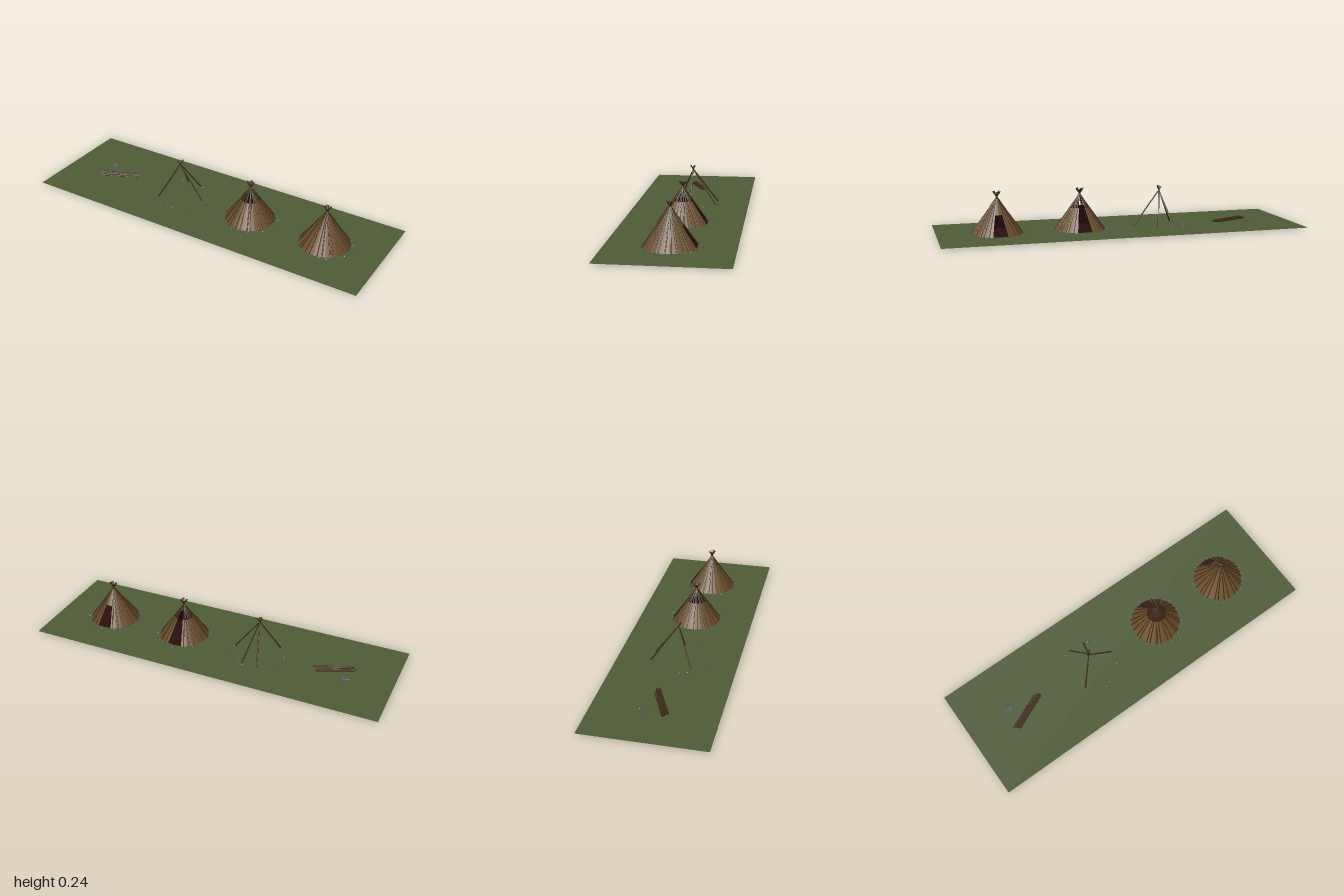
import * as THREE from 'three';

const mat = (name, color, side = THREE.FrontSide, flatShading = true) => {
  const m = new THREE.MeshStandardMaterial({ color, side, flatShading });
  m.name = name;
  return m;
};

export function createModel() {
  const grass = mat('grass', 0x4d5a36, THREE.DoubleSide);
  const wood = mat('wood', 0x3d2a17);
  const hide = mat('hide', 0x6b4c28, THREE.DoubleSide);
  const interior = mat('interior', 0x2a0f0e, THREE.DoubleSide);
  const stone = mat('stone', 0x54565a);

  const GROUND = 0.008, RADIUS = 0.14, APEX = 0.2, DOOR = 0.3;
  const model = new THREE.Group();
  let seed = 7;
  const rand = () => (seed = (seed * 16807) % 2147483647) / 2147483647;
  const jitter = (s) => (rand() - 0.5) * 2 * s;

  const add = (parent, name, geometry, material) => {
    const mesh = new THREE.Mesh(geometry, material);
    mesh.name = name;
    parent.add(mesh);
    return mesh;
  };
  const group = (name, x, z = 0) => {
    const g = new THREE.Group();
    g.name = name;
    g.position.set(x, 0, z);
    model.add(g);
    return g;
  };

  // Tapered pole between two points
  const pole = (parent, a, b, r = 0.0036) => {
    const dir = b.clone().sub(a);
    const mesh = add(parent, 'pole', new THREE.CylinderGeometry(r * 0.7, r, dir.length(), 6), wood);
    mesh.position.copy(a).add(b).multiplyScalar(0.5);
    mesh.quaternion.setFromUnitVectors(new THREE.Vector3(0, 1, 0), dir.normalize());
  };

  // Pole leaning from the foot circle, through the tie point and out beyond it
  const leaningPole = (parent, angle, foot, r) => {
    const a = new THREE.Vector3(Math.sin(angle) * foot, 0.004, Math.cos(angle) * foot);
    const tie = new THREE.Vector3(Math.sin(angle) * 0.004 + jitter(0.002), APEX, Math.cos(angle) * 0.004 + jitter(0.002));
    pole(parent, a, a.clone().lerp(tie, 1.15 + jitter(0.035)), r);
  };

  const rock = (parent, x, y, z, s) => {
    const mesh = add(parent, 'stone', new THREE.DodecahedronGeometry(s), stone);
    mesh.position.set(x, y, z);
    mesh.scale.set(1, 0.65, 1.2);
    mesh.rotation.y = rand() * 6;
  };
  const stoneRing = (parent, count) => {
    for (let i = 0; i < count; i++) {
      const a = (i / count) * Math.PI * 2 + jitter(0.04);
      const r = 0.149 + jitter(0.004);
      rock(parent, Math.sin(a) * r, 0.009, Math.cos(a) * r, 0.0055 + rand() * 0.002);
    }
  };

  // Band of the hide cone between two heights, open at the back by "gap" each side
  const radiusAt = (y) => THREE.MathUtils.mapLinear(y, GROUND, APEX, RADIUS - 0.003, 0.005);
  const band = (parent, name, y0, y1, gap, inset, material) => {
    const geometry = new THREE.CylinderGeometry(radiusAt(y1) - inset, radiusAt(y0) - inset, y1 - y0, 24, 1, true,
      Math.PI + gap, Math.PI * 2 - gap * 2);
    add(parent, name, geometry, material).position.y = (y0 + y1) / 2;
  };

  // Ground
  add(model, 'ground', new THREE.PlaneGeometry(2, 0.65).rotateX(-Math.PI / 2), grass).position.y = GROUND;

  // Stage one: stacked poles and a small heap of stones
  const stack = group('poleStack', -0.667, 0.012);
  stack.rotation.y = 0.4;
  for (let i = 0; i < 10; i++) {
    const layer = i < 6 ? 0 : 1;
    const z = layer ? (i - 7.5) * 0.007 : (i - 2.5) * 0.007;
    const shift = jitter(0.012), y = 0.0115 + layer * 0.0065;
    pole(stack, new THREE.Vector3(-0.108 + shift, y, z + jitter(0.004)),
      new THREE.Vector3(0.108 + shift, y, z + jitter(0.004)), 0.0042);
  }
  const heap = group('stoneHeap', -0.748, -0.058);
  for (let i = 0; i < 11; i++) {
    const a = i * 2.4, r = 0.007 * Math.sqrt(i);
    rock(heap, Math.sin(a) * r, 0.011 + (i < 3 ? 0.006 : 0), Math.cos(a) * r * 1.1, 0.006);
  }

  // Stage two: bare frame of four poles
  const frame = group('frame', -0.235);
  for (const [x, z] of [[-0.045, -0.145], [0.047, -0.137], [0.148, 0.002], [-0.098, 0.09]])
    leaningPole(frame, Math.atan2(x, z), Math.hypot(x, z), 0.0045);
  stoneRing(frame, 24);

  // Stages three and four: half covered and fully covered tents
  for (const [name, x, covered] of [['halfCoveredTent', 0.223, false], ['coveredTent', 0.677, true]]) {
    const tent = group(name, x);
    const lowerTop = covered ? 0.115 : 0.13;
    band(tent, 'lowerCover', GROUND, lowerTop, DOOR, 0, hide);
    band(tent, 'lowerLining', GROUND, lowerTop, DOOR, 0.003, interior);
    if (covered) band(tent, 'upperCover', lowerTop, APEX, 0, 0, hide);
    const floor = add(tent, 'floor', new THREE.CircleGeometry(RADIUS - 0.006, 24).rotateX(-Math.PI / 2), interior);
    floor.position.y = GROUND + 0.002;
    const count = 24;
    for (let i = 0; i < count; i++) {
      const t = (i + 0.5) / count;
      const angle = Math.PI + DOOR + t * (Math.PI * 2 - DOOR * 2) + jitter(0.06);
      leaningPole(tent, angle, RADIUS, 0.0034);
    }
    stoneRing(tent, 26);
  }

  // Rest the lowest point on zero
  const low = new THREE.Box3().setFromObject(model, true).min.y;
  for (const part of model.children) part.position.y -= low;
  return model;
}
